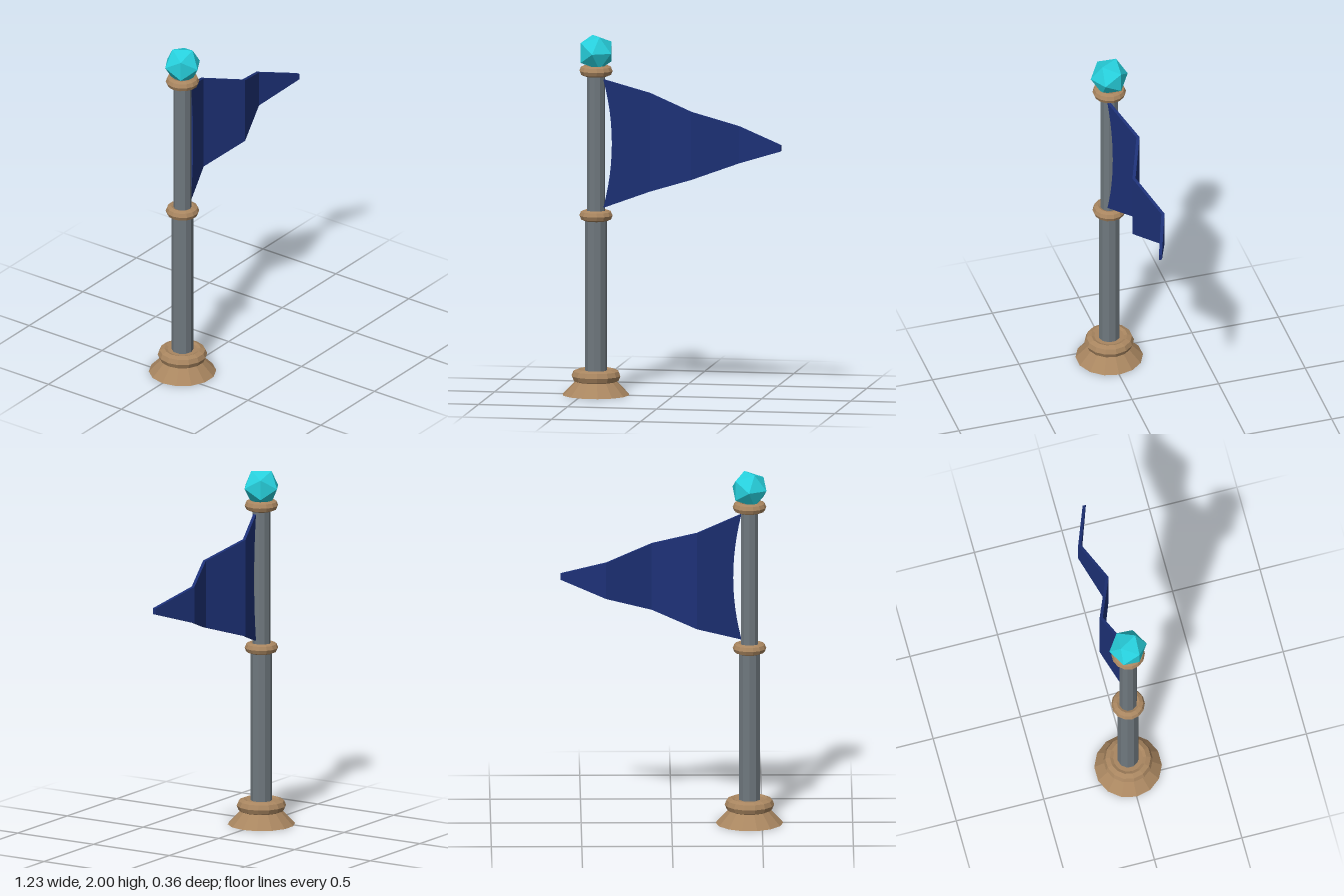
import * as THREE from 'three';

const POLE_X = -0.43;

export function createModel() {
  const model = new THREE.Group();
  const paint = (color) => new THREE.MeshStandardMaterial({ color, flatShading: true });
  const metal = paint(0x6f787e), bronze = paint(0xa98660), cloth = paint(0x1d3177), crystal = paint(0x27d0dd);

  const add = (name, geometry, material, x, y) => {
    const mesh = new THREE.Mesh(geometry, material);
    mesh.name = name;
    mesh.position.set(x, y, 0);
    model.add(mesh);
    return mesh;
  };

  // Flared foot
  const foot = new THREE.CylinderGeometry(0.1, 0.187, 0.09, 14);
  add('baseFoot', foot.rotateY(Math.PI / 2), bronze, POLE_X, 0.045);

  // Rounded collars: base, middle and top
  const collar = (name, y, radius, tube) => {
    const geometry = new THREE.TorusGeometry(radius, tube, 8, 14);
    add(name, geometry.rotateX(Math.PI / 2), bronze, POLE_X, y);
  };
  collar('baseCollar', 0.105, 0.1, 0.037);
  collar('middleCollar', 1.0, 0.063, 0.03);
  collar('topCollar', 1.807, 0.063, 0.03);

  // Plate closing the base collar
  add('basePlate', new THREE.CylinderGeometry(0.1, 0.1, 0.04, 14), bronze, POLE_X, 0.115);

  // Pole in two sections, the upper one slimmer
  const pole = (name, radius, y0, y1) =>
    add(name, new THREE.CylinderGeometry(radius, radius, y1 - y0, 10), metal, POLE_X, (y0 + y1) / 2);
  pole('lowerPole', 0.06, 0.1, 1.0);
  pole('upperPole', 0.05, 1.0, 1.815);

  // Faceted crystal finial
  const finial = new THREE.IcosahedronGeometry(0.106, 0);
  add('finial', finial.rotateY(-Math.PI / 3), crystal, POLE_X, 1.91);

  // Pennant: a thin slab folded in a zigzag, tapering to the tip
  const folds = [[-0.385, 0.015], [-0.14, -0.077], [0.11, 0.023], [0.362, -0.067], [0.613, 0.025]];
  const flag = new THREE.BoxGeometry(4, 2, 0.018, 4, 12, 1);
  const p = flag.attributes.position;
  for (let i = 0; i < p.count; i++) {
    const column = Math.round(p.getX(i) + 2), v = p.getY(i);
    let [x, z] = folds[column];
    const half = THREE.MathUtils.mapLinear(x, folds[0][0], folds[4][0], 0.358, 0.017);
    // The edge by the pole bows inward
    if (column === 0) {
      const bow = 0.045 * (1 - v * v);
      x += bow;
      z -= bow * 0.375;
    }
    p.setXYZ(i, x, 1.404 + v * half, z + p.getZ(i));
  }
  flag.computeVertexNormals();
  add('pennant', flag, cloth, 0, 0);

  return model;
}
